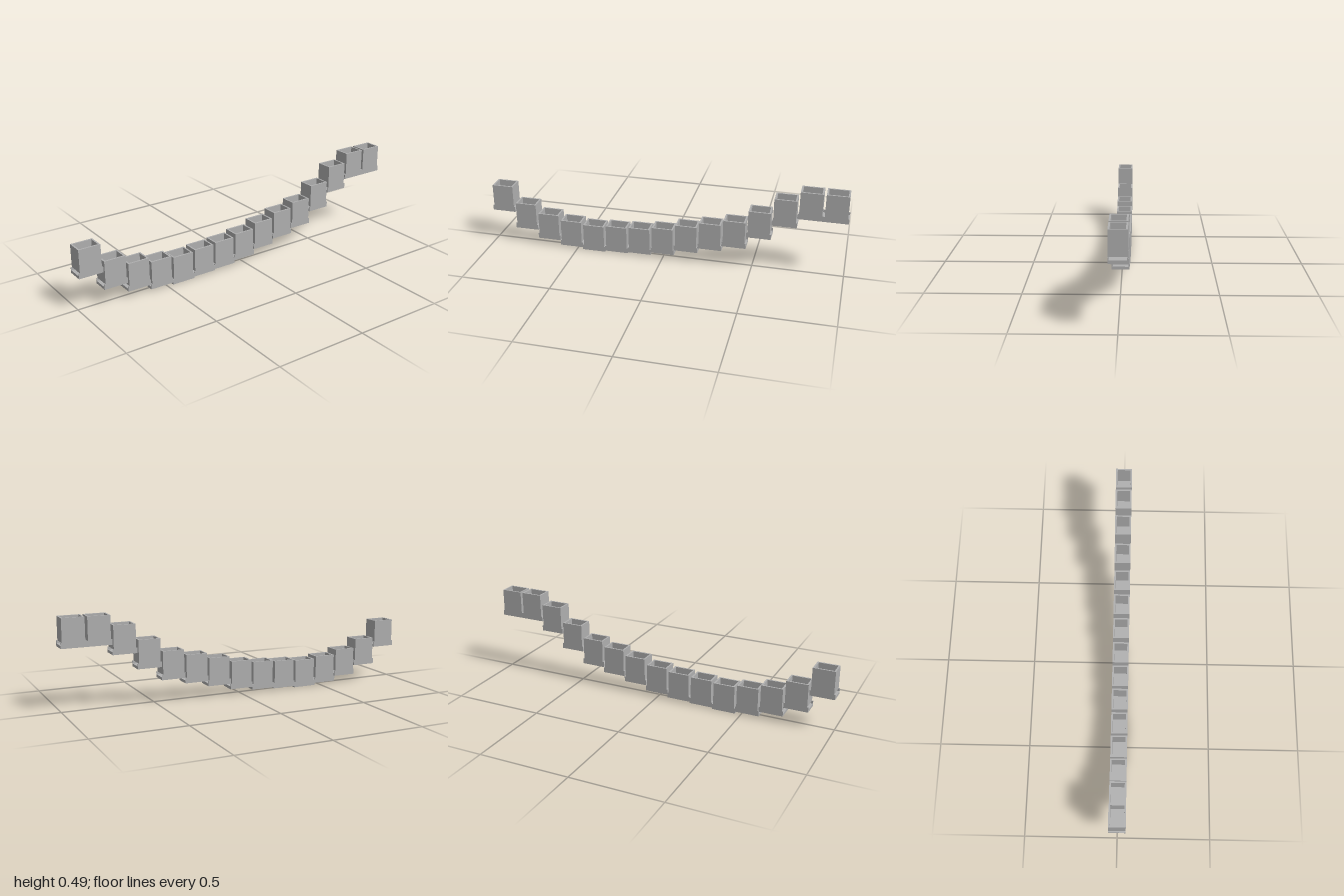
import * as THREE from 'three';

const PITCH = 2 / 15;      // length of one base
const DEPTH = 0.09;
const BODY = 0.12;         // length of one bucket
const HEIGHT = 0.155;
const BASE = 0.015;        // base plate thickness
const CHANNEL = 0.03;      // top of the channel under the bucket
const WALL = 0.009;

const rect = (Type, w, d) => new Type([
  new THREE.Vector2(-w / 2, -d / 2), new THREE.Vector2(w / 2, -d / 2),
  new THREE.Vector2(w / 2, d / 2), new THREE.Vector2(-w / 2, d / 2),
]);

export function createModel() {
  const grey = new THREE.MeshStandardMaterial({ color: 0xb0b0b0 });
  grey.name = 'grey';

  // open rectangular tube for the bucket walls
  const outline = rect(THREE.Shape, BODY, DEPTH);
  outline.holes.push(rect(THREE.Path, BODY - 2 * WALL, DEPTH - 2 * WALL));
  const walls = new THREE.ExtrudeGeometry(outline, { depth: HEIGHT - CHANNEL, bevelEnabled: false });
  walls.rotateX(-Math.PI / 2);
  walls.translate(0, CHANNEL, 0);

  const floor = new THREE.BoxGeometry(BODY - 2 * WALL, 0.01, DEPTH - 2 * WALL);
  floor.translate(0, CHANNEL + 0.005, 0);

  // base plate with low side rails, leaving a channel open at both ends
  const plate = new THREE.BoxGeometry(PITCH, BASE, DEPTH);
  plate.translate(0, BASE / 2, 0);
  const rail = new THREE.BoxGeometry(PITCH, CHANNEL - BASE, 0.005);
  rail.translate(0, (CHANNEL + BASE) / 2, 0);

  const model = new THREE.Group();
  model.name = 'bucketChain';
  const add = (parent, geometry, name, z = 0) => {
    const mesh = new THREE.Mesh(geometry, grey);
    mesh.name = name;
    mesh.position.z = z;
    parent.add(mesh);
  };

  // base height of each bucket along the sagging row
  const heights = [0.19, 0.091, 0.04, 0.012, 0, 0.008, 0.015, 0.031,
    0.062, 0.092, 0.123, 0.195, 0.282, 0.337, 0.337];
  heights.forEach((y, i) => {
    const bucket = new THREE.Group();
    bucket.name = 'bucket' + (i + 1);
    bucket.position.set((i - 7) * PITCH, y, 0);
    add(bucket, walls, 'bucketWalls');
    add(bucket, floor, 'bucketFloor');
    add(bucket, plate, 'basePlate');
    for (const s of [-1, 1]) add(bucket, rail, 'baseRail', s * (DEPTH / 2 - 0.0025));
    model.add(bucket);
  });
  return model;
}
